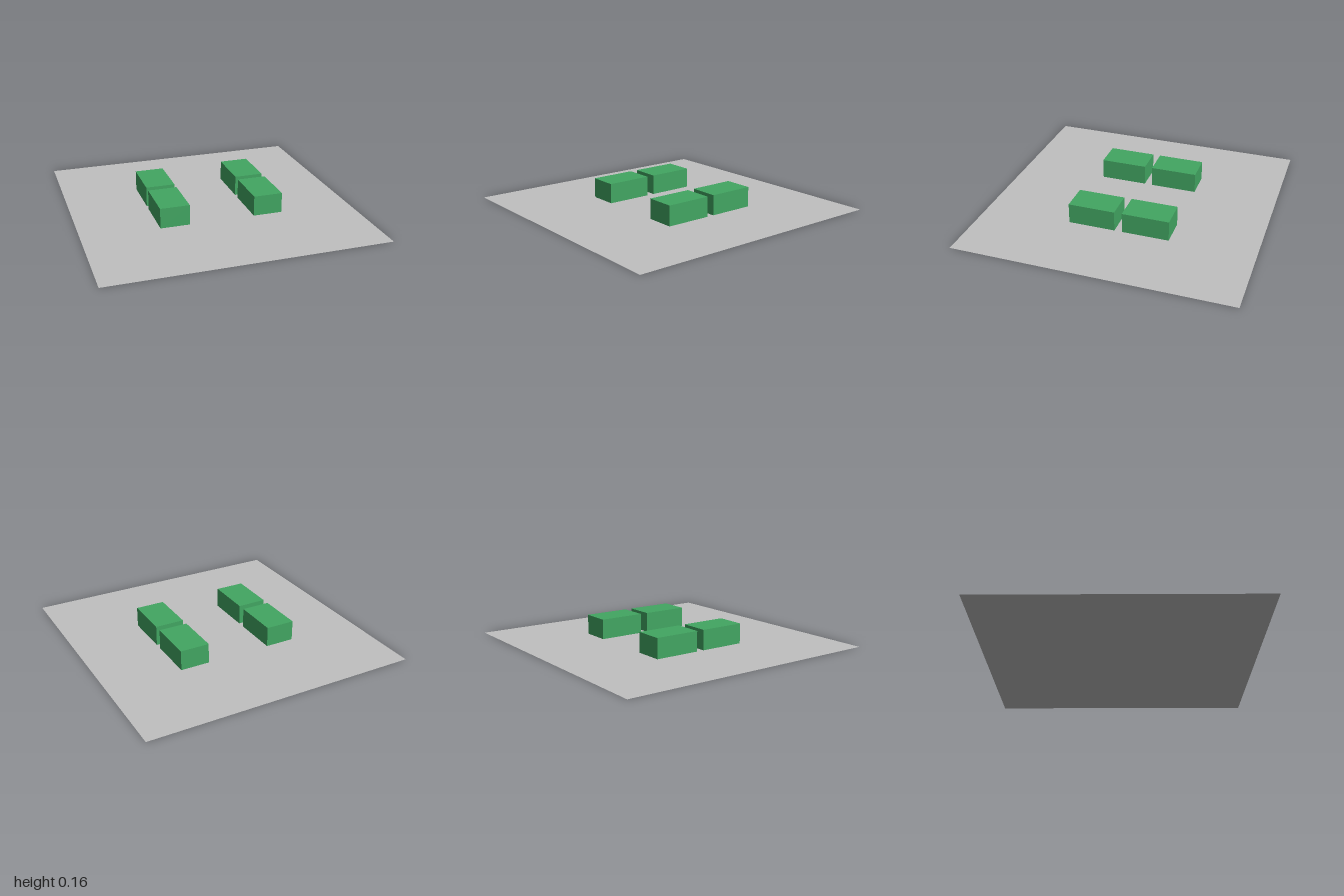
import * as THREE from 'three';

export function createModel() {
  const model = new THREE.Group();
  const groundGrey = new THREE.MeshStandardMaterial({ color: 0xc0c0c0, side: THREE.DoubleSide });
  groundGrey.name = 'groundGrey';
  const blockGreen = new THREE.MeshStandardMaterial({ color: 0x42a662 });
  blockGreen.name = 'blockGreen';

  // Flat square base sheet
  const base = new THREE.Mesh(new THREE.PlaneGeometry(2, 2).rotateX(-Math.PI / 2), groundGrey);
  base.name = 'baseSheet';
  model.add(base);

  // Two rows of two blocks, raised slightly above the sheet
  const blockGeometry = new THREE.BoxGeometry(0.213, 0.148, 0.34);
  for (const [side, x] of [['right', -0.339], ['left', 0.352]]) {
    for (const [end, z] of [['Front', 0.176], ['Back', -0.22]]) {
      const block = new THREE.Mesh(blockGeometry, blockGreen);
      block.name = `${side}${end}Block`;
      block.position.set(x, 0.085, z);
      model.add(block);
    }
  }
  return model;
}
